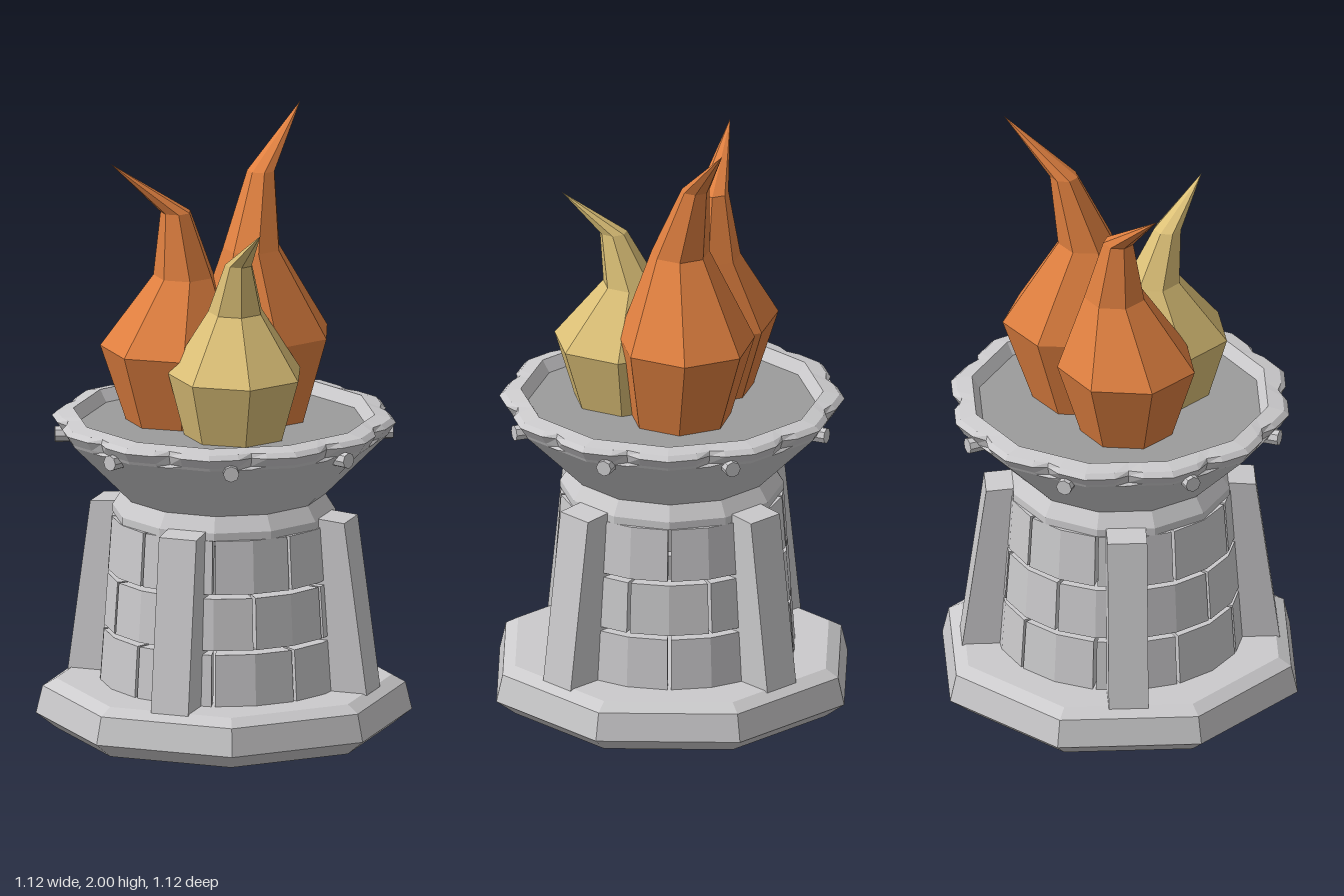
import * as THREE from 'three';

// Flat-shaded skin over a stack of rings (bottom to top), each an array of Vector3
function loft(rings, capBottom = true, capTop = true) {
  const pos = [];
  const tri = (...pts) => pts.forEach((p) => pos.push(p.x, p.y, p.z));
  const n = rings[0].length;
  for (let i = 0; i < rings.length - 1; i++) {
    for (let j = 0; j < n; j++) {
      const k = (j + 1) % n;
      const a = rings[i][j], b = rings[i][k], c = rings[i + 1][j], d = rings[i + 1][k];
      tri(a, c, b);
      if (c.distanceTo(d) > 1e-4) tri(b, c, d);
    }
  }
  const lo = rings[0], hi = rings[rings.length - 1];
  for (let j = 1; j < n - 1; j++) {
    if (capBottom) tri(lo[0], lo[j], lo[j + 1]);
    if (capTop) tri(hi[0], hi[j + 1], hi[j]);
  }
  const geo = new THREE.BufferGeometry();
  geo.setAttribute('position', new THREE.Float32BufferAttribute(pos, 3));
  geo.computeVertexNormals();
  return geo;
}

// Regular polygon ring
function ring(n, r, y, start = 0, cx = 0, cz = 0) {
  return Array.from({ length: n }, (_, j) => {
    const a = start + (j / n) * Math.PI * 2;
    return new THREE.Vector3(cx + r * Math.cos(a), y, cz + r * Math.sin(a));
  });
}

// Twelve-sided ring with a chip in the middle of every side
function chippedRing(r, y, dent) {
  const side = Math.PI / 6, per = 6;
  return Array.from({ length: 12 * per }, (_, j) => {
    const a = (j / per) * side;
    const mid = j % per === per / 2 ? 1 : 0;
    const rad = (r * Math.cos(side / 2)) / Math.cos((a % side) - side / 2) - dent * mid;
    return new THREE.Vector3(rad * Math.cos(a), y, rad * Math.sin(a));
  });
}

// Box whose corners are moved by a rule
function warpBox(segX, rule) {
  const geo = new THREE.BoxGeometry(1, 1, 1, segX, 1, 1).toNonIndexed();
  const p = geo.attributes.position;
  for (let i = 0; i < p.count; i++) {
    p.setXYZ(i, ...rule(p.getX(i), p.getY(i) + 0.5, p.getZ(i) + 0.5));
  }
  geo.computeVertexNormals();
  return geo;
}

export function createModel() {
  const model = new THREE.Group();
  model.name = 'stoneBrazier';
  const mat = (name, color) => {
    const m = new THREE.MeshStandardMaterial({ color });
    m.name = name;
    return m;
  };
  const stone = mat('stone', 0xcbcacc);
  const ash = mat('ash', 0x9c9c9c);
  const orange = mat('orangeFlame', 0xe08040);
  const yellow = mat('yellowFlame', 0xdcc077);
  const add = (name, geo, material, parent = model) => {
    const mesh = new THREE.Mesh(geo, material);
    mesh.name = name;
    parent.add(mesh);
    return mesh;
  };
  const group = (name) => {
    const g = new THREE.Group();
    g.name = name;
    model.add(g);
    return g;
  };

  // Octagonal plinth, sizes given across the flats
  const plinth = [[0.5, 0], [0.56, 0.05], [0.54, 0.14], [0.5, 0.165]];
  add('plinth', loft(plinth.map(([r, y]) =>
    ring(8, r / Math.cos(Math.PI / 8), y, Math.PI / 8))), stone);

  // Hollow column of three brick courses with open joints
  const bricks = group('bricks');
  const columnRadius = (y) => 0.4 - 0.07 * (y - 0.165);
  const courses = [[0.16, 0.333, 10], [0.347, 0.516, -10], [0.53, 0.705, 10]];
  for (const [y0, y1, offset] of courses) {
    for (let i = 0; i < 9; i++) {
      const centre = offset + 20 + i * 40;
      add('brick', warpBox(2, (x, y, z) => {
        const h = y0 + (y1 - y0) * y;
        const a = THREE.MathUtils.degToRad(centre + x * 38.4);
        const r = columnRadius(h) - 0.06 * (1 - z);
        return [r * Math.sin(a), h, r * Math.cos(a)];
      }), stone, bricks);
    }
  }

  // Four leaning buttresses on the diagonals
  const buttresses = group('buttresses');
  for (let i = 0; i < 4; i++) {
    const b = add('buttress', warpBox(1, (x, y, z) => {
      const outer = 0.512 - 0.077 * y;
      return [x * 0.128, 0.16 + (z > 0.5 ? 0.565 : 0.575) * y, z > 0.5 ? outer : 0.32];
    }), stone, buttresses);
    b.rotation.y = Math.PI / 4 + (i * Math.PI) / 2;
  }

  // Collar between the column and the bowl
  add('collar', loft([[0.36, 0.705], [0.36, 0.73], [0.325, 0.785]]
    .map(([r, y]) => ring(12, r, y))), stone);

  // Bowl with a chipped rim
  const bowl = [[0.325, 0.775, 0], [0.53, 0.98, 0], [0.535, 0.99, 0.012], [0.556, 1.02, 0.022],
    [0.54, 1.035, 0.012], [0.487, 1.045, 0], [0.462, 1.005, 0]];
  add('bowl', loft(bowl.map((p) => chippedRing(...p)), true, false), stone);
  add('ashBed', loft([[0.4, 0.98], [0.468, 1.006]].map(([r, y]) => ring(12, r, y))), ash);

  // Studs under the rim
  const studs = group('studs');
  for (let i = 0; i < 8; i++) {
    const a = Math.PI / 8 + (i * Math.PI) / 4;
    const geo = new THREE.CylinderGeometry(0.026, 0.026, 0.07, 8).toNonIndexed();
    geo.computeVertexNormals();
    geo.rotateX(Math.PI / 2);
    const s = add('stud', geo, stone, studs);
    s.position.set(0.51 * Math.sin(a), 0.975, 0.51 * Math.cos(a));
    s.rotation.y = a;
  }

  // Flames: sections are [x, y, z, radius], ending in a bent tip
  const flames = group('flames');
  const flame = (name, material, startDeg, sections) => add(name, loft(sections.map(
    ([x, y, z, r]) => ring(7, r, y, THREE.MathUtils.degToRad(startDeg), x, z))), material, flames);
  flame('leftFlame', orange, -101, [
    [-0.13, 1.0, -0.11, 0.15], [-0.135, 1.25, -0.115, 0.228], [-0.085, 1.48, -0.12, 0.1],
    [-0.11, 1.69, -0.13, 0.05], [-0.32, 1.86, -0.18, 0]]);
  flame('rightFlame', orange, 0, [
    [0.13, 1.0, -0.03, 0.165], [0.165, 1.28, -0.05, 0.225], [0.115, 1.57, -0.03, 0.095],
    [0.17, 1.81, -0.08, 0.046], [0.35, 2.0, -0.17, 0]]);
  flame('frontFlame', yellow, 104, [
    [-0.03, 1.0, 0.155, 0.165], [-0.03, 1.21, 0.165, 0.222], [-0.02, 1.41, 0.135, 0.09],
    [-0.035, 1.58, 0.19, 0.045], [-0.035, 1.715, 0.355, 0]]);

  return model;
}
